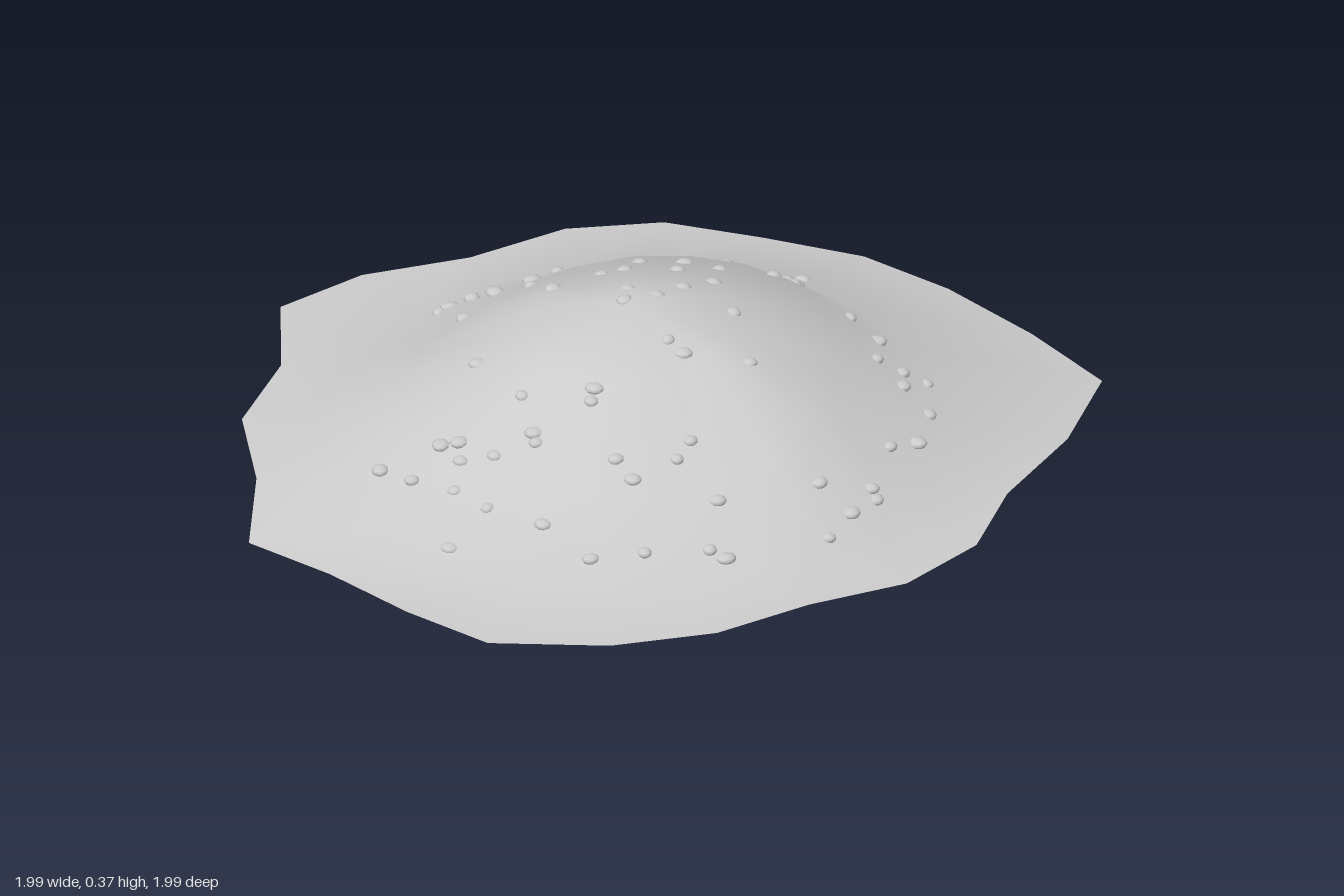
import * as THREE from 'three';

const SECTORS = 24;
const RIM_Y = 0.01;
const PEAK = 0.38;
const RINGS = [0.25, 0.52, 0.74];

// Ragged rim, [x, z], starting at +x and turning towards +z
const RIM = [
  [0.99, -0.03], [0.95, 0.21], [0.81, 0.42], [0.7, 0.65], [0.52, 0.84], [0.27, 0.99],
  [0.03, 0.975], [-0.22, 0.93], [-0.46, 0.915], [-0.61, 0.655], [-0.79, 0.445], [-0.85, 0.185],
  [-1, -0.04], [-0.92, -0.27], [-0.75, -0.48], [-0.635, -0.715], [-0.455, -0.87], [-0.22, -0.94],
  [0.03, -1], [0.28, -0.985], [0.56, -0.92], [0.82, -0.83], [0.9, -0.56], [0.92, -0.27],
];

// Slope profiles every 30 degrees: heights at the three inner rings
const SLOPES = [
  [0.315, 0.238, 0.025], [0.295, 0.155, 0.02], [0.29, 0.14, 0.015], [0.28, 0.125, 0.015],
  [0.285, 0.16, 0.08], [0.28, 0.15, 0.045], [0.312, 0.11, 0.02], [0.3, 0.145, 0.02],
  [0.3, 0.19, 0.035], [0.315, 0.22, 0.055], [0.32, 0.245, 0.06], [0.32, 0.24, 0.07],
];

// Pebble positions, [x, z]
const PEBBLES = [
  [0, -0.78], [0.03, -0.66], [0.08, -0.62], [-0.14, -0.6], [-0.1, -0.6], [0.31, -0.51], [0.39, -0.51],
  [0.53, -0.51], [0.54, -0.39], [0.62, -0.38], [0.46, -0.4], [0.67, -0.26], [0.65, -0.17], [0.69, -0.03],
  [0.7, 0.07], [0.7, 0.17], [0.62, 0.09], [0.47, 0.3], [0.52, 0.41], [0.56, 0.4], [0.4, 0.51], [0.3, 0.59],
  [0.15, 0.57], [0, 0.58], [-0.03, 0.7], [-0.1, 0.57], [-0.13, 0.5], [-0.2, 0.48], [-0.21, 0.59],
  [-0.3, 0.59], [-0.26, 0.23], [-0.08, 0.31], [0, 0.38], [0.09, 0.27], [0.22, 0.36], [0.28, 0.38],
  [0.34, 0.22], [0.2, 0.04], [0, -0.01], [-0.05, -0.1], [0.04, -0.2], [-0.19, -0.2], [-0.2, -0.38],
  [-0.1, -0.42], [-0.5, -0.48], [-0.48, -0.34], [-0.39, -0.2], [-0.58, -0.23], [-0.52, -0.24],
  [-0.62, -0.15], [-0.5, -0.08], [0.1, -0.5], [0, -0.42], [-0.23, -0.05], [0.33, -0.05], [0.19, -0.19],
  [0.03, -0.7], [0.34, 0.28], [-0.16, 0.46], [-0.06, 0.46], [0.02, 0.4], [0.08, 0.24], [0.15, 0.03],
  [0.03, -0.1], [-0.17, -0.27], [-0.06, -0.33], [0.06, -0.3], [0.5, -0.45], [0.71, -0.02], [-0.61, -0.18],
];

// Height of one inner ring at a given angle, eased between the profiles
function ringHeight(ring, angle) {
  const n = SLOPES.length;
  const t = ((((angle / (Math.PI * 2)) * n) % n) + n) % n;
  const i = Math.floor(t);
  const ease = (1 - Math.cos((t - i) * Math.PI)) / 2;
  return THREE.MathUtils.lerp(SLOPES[i % n][ring], SLOPES[(i + 1) % n][ring], ease);
}

// Height of the ground at any point
function groundHeight(x, z) {
  const r = Math.hypot(x, z);
  const angle = Math.atan2(z, x);
  const radii = [0, ...RINGS, 1];
  const heights = [PEAK, ...RINGS.map((_, k) => ringHeight(k, angle)), RIM_Y];
  const k = radii.findIndex((outer) => r < outer) - 1;
  return THREE.MathUtils.mapLinear(r, radii[k], radii[k + 1], heights[k], heights[k + 1]);
}

// Open shell from the peak through the rings to the rim
function moundGeometry() {
  const pos = [0.01, PEAK, -0.01];
  const index = [];
  RINGS.forEach((r, k) => {
    for (let i = 0; i < SECTORS; i++) {
      const a = (i / SECTORS) * Math.PI * 2;
      pos.push(r * Math.cos(a), ringHeight(k, a), r * Math.sin(a));
    }
  });
  RIM.forEach(([x, z]) => pos.push(x, RIM_Y, z));

  for (let i = 0; i < SECTORS; i++) {
    const j = (i + 1) % SECTORS;
    index.push(0, 1 + j, 1 + i);
    for (let k = 0; k < RINGS.length; k++) {
      const a = 1 + k * SECTORS;
      const b = a + SECTORS;
      index.push(a + i, a + j, b + j, a + i, b + j, b + i);
    }
  }
  const geo = new THREE.BufferGeometry();
  geo.setAttribute('position', new THREE.Float32BufferAttribute(pos, 3));
  geo.setIndex(index);
  geo.computeVertexNormals();
  return geo;
}

export function createModel() {
  const model = new THREE.Group();
  model.name = 'dirtMound';

  const mound = new THREE.Mesh(
    moundGeometry(),
    new THREE.MeshStandardMaterial({ color: 0xcccccc, side: THREE.DoubleSide })
  );
  mound.name = 'mound';
  model.add(mound);

  // Flat pebbles lying level, so only their downhill edge breaks the slope
  const pebbles = new THREE.Group();
  pebbles.name = 'pebbles';
  const pebbleGeo = new THREE.SphereGeometry(1, 10, 6);
  const pebbleMat = new THREE.MeshStandardMaterial({ color: 0xcccccc });
  PEBBLES.forEach(([x, z], i) => {
    const size = 0.022 + 0.003 * Math.sin(i * 2.4);
    const pebble = new THREE.Mesh(pebbleGeo, pebbleMat);
    pebble.name = 'pebble';
    pebble.position.set(x, groundHeight(x, z) - 0.005, z);
    pebble.rotation.y = i * 1.7;
    pebble.scale.set(size, 0.012, size * 0.9);
    pebbles.add(pebble);
  });
  model.add(pebbles);

  return model;
}
